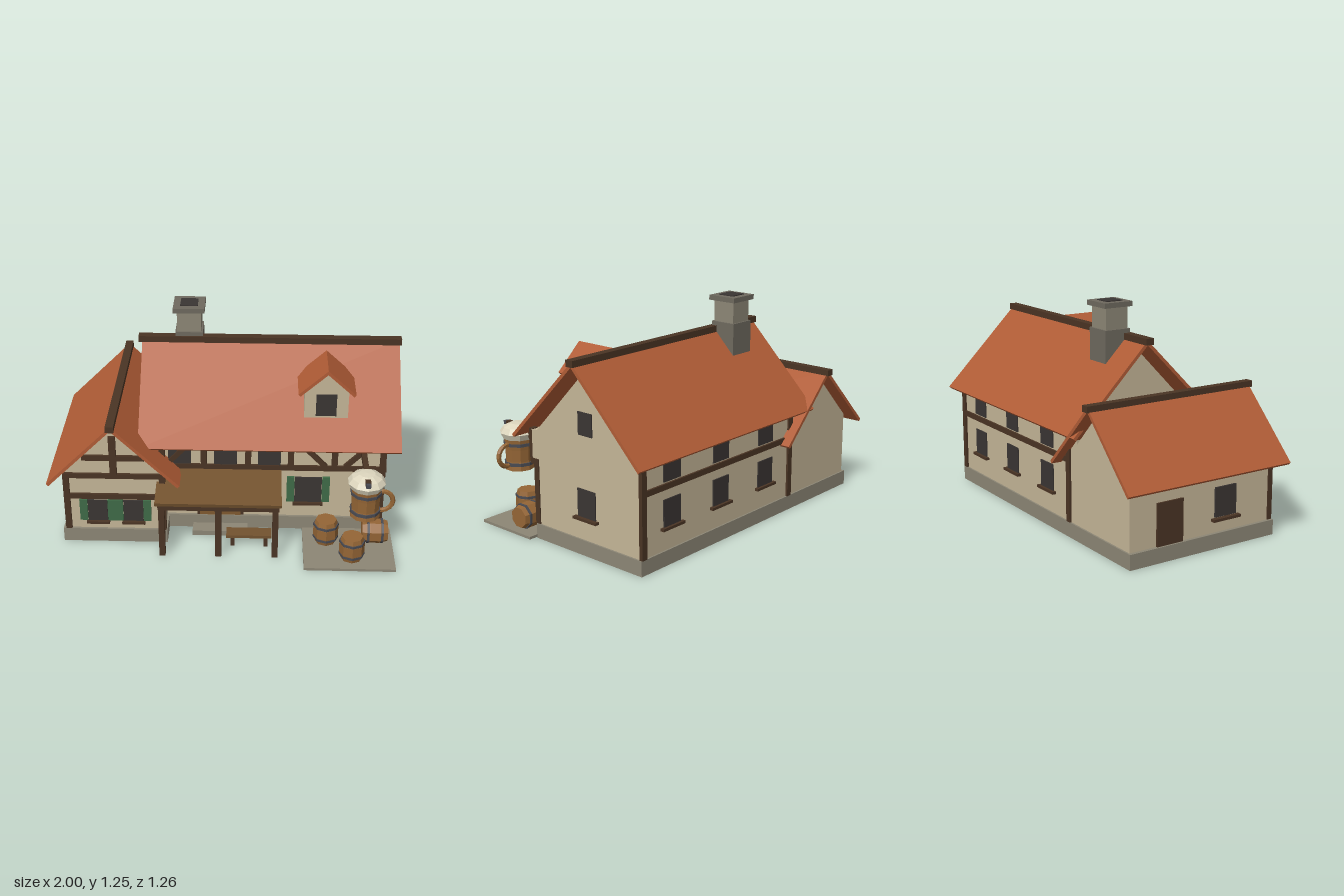
import * as THREE from 'three';

const mat = (color) => new THREE.MeshStandardMaterial({ color, flatShading: true });
const M = {
  wall: mat(0xc4b597), roof: mat(0xb05c36), wood: mat(0x4a3424), stone: mat(0x8c8675),
  darkStone: mat(0x6e695e), glass: mat(0x3a3533), shutter: mat(0x3f6b47), door: mat(0x80592f),
  plank: mat(0x73522f), barrel: mat(0x946535), band: mat(0x4a4b52), foam: mat(0xdcd5bd),
};

export function createModel() {
  const root = new THREE.Group();
  root.name = 'tavern';

  const add = (name, geo, m, parent = root) => {
    const mesh = new THREE.Mesh(geo, m);
    mesh.name = name;
    parent.add(mesh);
    return mesh;
  };
  // Box given by its limits on each axis
  const box = (name, m, x0, x1, y0, y1, z0, z1, parent = root) => {
    const mesh = add(name, new THREE.BoxGeometry(x1 - x0, y1 - y0, z1 - z0), m, parent);
    mesh.position.set((x0 + x1) / 2, (y0 + y1) / 2, (z0 + z1) / 2);
    return mesh;
  };
  // Square bar between two points
  const bar = (name, p, q, w, d, m = M.wood) => {
    const a = new THREE.Vector3(...p), b = new THREE.Vector3(...q);
    const mesh = add(name, new THREE.BoxGeometry(w, a.distanceTo(b), d), m);
    mesh.position.copy(a).lerp(b, 0.5);
    mesh.quaternion.setFromUnitVectors(new THREE.Vector3(0, 1, 0), b.sub(a).normalize());
    return mesh;
  };
  // Outline extruded from a to b, along z or (alongX) along x
  const prism = (name, m, pts, a, b, centre, alongX = false) => {
    const shape = new THREE.Shape(pts.map((p) => new THREE.Vector2(...p)));
    const geo = new THREE.ExtrudeGeometry(shape, { depth: b - a, bevelEnabled: false });
    const mesh = add(name, geo, m);
    if (alongX) {
      mesh.rotation.y = Math.PI / 2;
      mesh.position.set(a, 0, centre);
    } else mesh.position.set(centre, 0, a);
    return mesh;
  };
  const house = (w, y0, eave, top) => [[-w, y0], [w, y0], [w, eave], [0, top], [-w, eave]];
  const chevron = (w, eave, top, t) => [
    [-w, eave], [-w + t * 0.5, eave - t * 0.5], [0, top - t], [w - t * 0.5, eave - t * 0.5], [w, eave], [0, top],
  ];

  // Stone footing
  box('mainFooting', M.stone, -0.4, 0.92, 0, 0.085, -0.56, 0.225);
  box('wingFooting', M.stone, -0.93, -0.33, 0, 0.085, -0.56, 0.385);
  box('doorStep', M.stone, -0.19, 0.13, 0, 0.03, 0.22, 0.31);

  // Walls
  prism('mainWalls', M.wall, house(0.38, 0.08, 0.62, 1.01), -0.42, 0.91, -0.17, true);
  box('jetty', M.wall, -0.42, 0.91, 0.43, 0.62, 0, 0.25);
  prism('wingWalls', M.wall, house(0.285, 0.08, 0.455, 0.745), -0.55, 0.37, -0.625);

  // Roofs and ridge beams
  prism('mainRoof', M.roof, chevron(0.47, 0.592, 1.062, 0.026), -0.49, 0.985, -0.145, true);
  box('mainRidge', M.wood, -0.51, 0.995, 1.04, 1.076, -0.168, -0.12);
  prism('wingRoof', M.roof, chevron(0.375, 0.417, 0.79, 0.026), -0.615, 0.435, -0.625);
  box('wingRidge', M.wood, -0.648, -0.602, 0.765, 0.8, -0.63, 0.452);

  // Dormer
  prism('dormerWalls', M.wall, house(0.123, 0.705, 0.9, 1.02), -0.05, 0.185, 0.563);
  prism('dormerRoof', M.roof, chevron(0.16, 0.9, 1.047, 0.024), -0.03, 0.23, 0.563);
  box('dormerWindow', M.glass, 0.505, 0.62, 0.745, 0.88, 0.18, 0.19);

  // Chimney
  const chimney = (name, m, w, y0, y1) => box(name, m, -0.22 - w, -0.22 + w, y0, y1, -0.21 - w, -0.21 + w);
  chimney('chimneyBase', M.darkStone, 0.079, 0.85, 1.1);
  chimney('chimneyStack', M.stone, 0.069, 1.1, 1.225);
  chimney('chimneyCap', M.darkStone, 0.09, 1.222, 1.25);
  chimney('chimneyFlue', M.glass, 0.05, 1.24, 1.255);

  // Main front timbers
  box('jettyBeam', M.wood, -0.4, 0.915, 0.425, 0.457, 0.2, 0.262);
  for (const x of [-0.36, -0.122, 0.13, 0.372, 0.62, 0.893])
    box('upperPost', M.wood, x - 0.017, x + 0.017, 0.455, 0.625, 0.24, 0.272);
  bar('brace', [-0.34, 0.45, 0.255], [-0.2, 0.6, 0.255], 0.028, 0.028);
  bar('brace', [0.43, 0.6, 0.255], [0.57, 0.455, 0.255], 0.028, 0.028);
  bar('brace', [0.68, 0.455, 0.255], [0.82, 0.6, 0.255], 0.028, 0.028);
  box('lowerPost', M.wood, 0.88, 0.915, 0.085, 0.43, 0.2, 0.235);
  for (const x of [-0.26, 0, 0.25]) box('upperWindow', M.glass, x - 0.065, x + 0.065, 0.457, 0.6, 0.24, 0.257);

  // Double door, shuttered window
  box('doorFrame', M.wood, -0.165, 0.105, 0.085, 0.325, 0.2, 0.217);
  for (const x of [-0.15, -0.028]) box('doorLeaf', M.door, x, x + 0.116, 0.088, 0.312, 0.2, 0.224);
  const frontWindow = (x, w, y0, y1, z) => {
    box('frontWindow', M.glass, x - w, x + w, y0, y1, z - 0.01, z + 0.008);
    box('frontSill', M.wood, x - w - 0.01, x + w + 0.01, y0 - 0.015, y0, z - 0.01, z + 0.025);
    for (const s of [-1, 1]) {
      const c = x + s * (w + 0.024);
      box('shutter', M.shutter, c - 0.022, c + 0.022, y0 + 0.005, y1 + 0.005, z - 0.01, z + 0.015);
    }
  };
  frontWindow(0.478, 0.078, 0.185, 0.352, 0.21);
  for (const x of [-0.726, -0.522]) frontWindow(x, 0.056, 0.14, 0.278, 0.37);

  // Wing front timbers
  for (const [x0, x1, y0, y1] of [
    [-0.912, -0.338, 0.29, 0.322], [-0.912, -0.338, 0.428, 0.458], [-0.8, -0.45, 0.545, 0.577],
    [-0.645, -0.605, 0.455, 0.7], [-0.915, -0.88, 0.085, 0.45], [-0.37, -0.335, 0.085, 0.45],
  ]) box('wingTimber', M.wood, x0, x1, y0, y1, 0.355, 0.385);

  // Back windows and timbers
  for (const x of [0.68, 0.285, -0.11]) {
    box('backWindow', M.glass, x - 0.065, x + 0.065, 0.215, 0.365, -0.557, -0.54);
    box('backSill', M.wood, x - 0.085, x + 0.085, 0.2, 0.215, -0.572, -0.54);
    box('backUpperWindow', M.glass, x - 0.065, x + 0.065, 0.46, 0.59, -0.557, -0.54);
  }
  box('backBeam', M.wood, -0.35, 0.915, 0.42, 0.452, -0.562, -0.54);
  for (const x of [-0.34, 0.897]) box('backPost', M.wood, x - 0.018, x + 0.018, 0.085, 0.62, -0.562, -0.54);

  // Side openings
  box('gableWindow', M.glass, 0.9, 0.917, 0.665, 0.79, -0.215, -0.115);
  box('sideWindow', M.glass, 0.9, 0.917, 0.215, 0.37, -0.23, -0.1);
  box('sideSill', M.wood, 0.9, 0.937, 0.2, 0.214, -0.25, -0.08);
  box('wingSideWindow', M.glass, -0.92, -0.9, 0.17, 0.335, -0.01, 0.13);
  box('wingSideSill', M.wood, -0.937, -0.9, 0.15, 0.165, -0.03, 0.15);
  box('wingSideDoor', M.wood, -0.92, -0.9, 0.085, 0.32, -0.385, -0.22);

  // Porch
  bar('porchRoof', [-0.032, 0.43, 0.2], [-0.032, 0.358, 0.535], 0.705, 0.022, M.plank);
  box('porchBeam', M.wood, -0.37, 0.31, 0.312, 0.347, 0.482, 0.518);
  for (const x of [-0.35, -0.032, 0.288]) box('porchPost', M.wood, x - 0.017, x + 0.017, 0, 0.32, 0.483, 0.517);

  // Bench
  const bench = new THREE.Group();
  bench.name = 'bench';
  root.add(bench);
  box('benchSeat', M.plank, 0.01, 0.27, 0.062, 0.08, 0.34, 0.42, bench);
  for (const x of [0.035, 0.225]) box('benchLeg', M.wood, x, x + 0.022, 0, 0.065, 0.35, 0.41, bench);

  // Barrels on a paved pad
  const lathe = (pts, n) => new THREE.LatheGeometry(pts.map((p) => new THREE.Vector2(...p)), n);
  const hoop = (parent, r, y, h, n) => {
    const mesh = add('hoop', new THREE.CylinderGeometry(r, r, h, n), M.band, parent);
    mesh.position.y = y;
  };
  const barrel = (x, y, z) => {
    const g = new THREE.Group();
    g.name = 'barrel';
    add('staves', lathe([[0, -0.073], [0.06, -0.073], [0.072, -0.03], [0.072, 0.03], [0.06, 0.073], [0, 0.073]], 8), M.barrel, g);
    for (const h of [-0.04, 0.04]) hoop(g, 0.0735, h, 0.014, 8);
    g.position.set(x, y, z);
    root.add(g);
    return g;
  };
  box('pavedPad', M.stone, 0.45, 0.965, 0, 0.015, 0.235, 0.628);
  barrel(0.582, 0.088, 0.357);
  barrel(0.722, 0.088, 0.517);
  const lying = barrel(0.862, 0.088, 0.357);
  lying.rotation.set(Math.PI / 8, 0, Math.PI / 2);

  // Hanging mug sign
  bar('signArm', [0.78, 0.555, 0.24], [0.78, 0.555, 0.6], 0.03, 0.03);
  box('signArmTip', M.band, 0.767, 0.793, 0.545, 0.567, 0.595, 0.622);
  bar('signBrace', [0.78, 0.54, 0.43], [0.78, 0.37, 0.25], 0.026, 0.026);
  const mug = new THREE.Group();
  mug.name = 'mugSign';
  mug.position.set(0.78, 0.31, 0.513);
  root.add(mug);
  add('mugBody', lathe([[0, 0], [0.085, 0], [0.078, 0.05], [0.08, 0.12], [0.088, 0.2], [0, 0.2]], 10), M.barrel, mug);
  hoop(mug, 0.086, 0.035, 0.018, 10);
  hoop(mug, 0.088, 0.15, 0.018, 10);
  add('mugFoam', lathe([[0, 0.18], [0.09, 0.18], [0.106, 0.215], [0.085, 0.245], [0.045, 0.265], [0, 0.268]], 10), M.foam, mug);
  const handle = add('mugHandle', new THREE.TorusGeometry(0.062, 0.014, 6, 10, Math.PI * 1.2), M.barrel, mug);
  handle.rotation.z = -Math.PI * 0.6;
  handle.position.set(0.088, 0.09, 0);

  return root;
}
